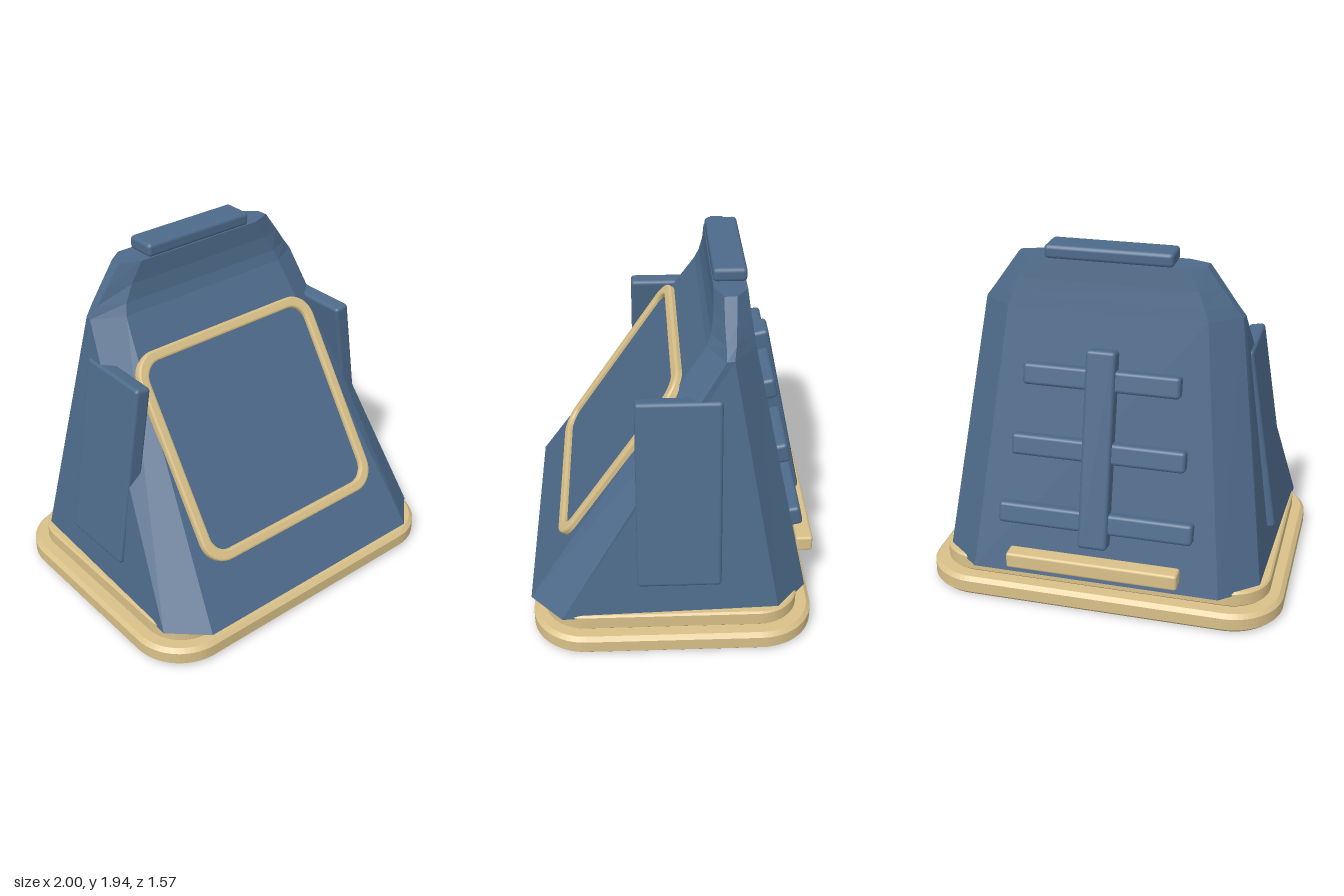
import * as THREE from 'three';
import { RoundedBoxGeometry } from 'three/addons/geometries/RoundedBoxGeometry.js';

const blue = new THREE.MeshStandardMaterial({ color: 0x4d6a8a });
blue.name = 'slate blue';
const tan = new THREE.MeshStandardMaterial({ color: 0xd8c088 });
tan.name = 'sand trim';

function addMesh(parent, name, geometry, material, x = 0, y = 0, z = 0) {
  const mesh = new THREE.Mesh(geometry, material);
  mesh.name = name;
  mesh.position.set(x, y, z);
  parent.add(mesh);
  return mesh;
}

function box(parent, name, size, material, pos, radius = 0.02) {
  return addMesh(parent, name, new RoundedBoxGeometry(...size, 2, radius), material, ...pos);
}

// Rounded rectangle centred on the origin
function roundedRect(w, h, r, Type = THREE.Shape) {
  const x = w / 2 - r, y = h / 2 - r, s = new Type();
  s.absarc(x, y, r, 0, Math.PI / 2);
  s.absarc(-x, y, r, Math.PI / 2, Math.PI);
  s.absarc(-x, -y, r, Math.PI, Math.PI * 1.5);
  s.absarc(x, -y, r, Math.PI * 1.5, Math.PI * 2);
  s.closePath();
  return s;
}

// Horizontal plate with bevelled rims, standing on y = 0
function plate(w, d, h, r, bevel) {
  const g = new THREE.ExtrudeGeometry(roundedRect(w - 2 * bevel, d - 2 * bevel, r - bevel), {
    depth: h - 2 * bevel, bevelSize: bevel, bevelThickness: bevel, bevelSegments: 1, curveSegments: 8,
  });
  return g.translate(0, 0, bevel).rotateX(-Math.PI / 2);
}

// Faceted shell: mirrored eight-sided sections joined upward
function shellGeometry() {
  // y, then x,z of the front, front side, back side and back corners
  const sections = [
    [0.18, 0.73, 0.785, 0.92, 0.61, 0.88, -0.55, 0.68, -0.715],
    [1.61, 0.53, -0.16, 0.697, -0.25, 0.69, -0.29, 0.53, -0.41],
    [1.67, 0.51, -0.183, 0.65, -0.25, 0.645, -0.3, 0.51, -0.4],
    [1.76, 0.46, -0.198, 0.585, -0.245, 0.58, -0.305, 0.475, -0.385],
    [1.87, 0.39, -0.2, 0.505, -0.245, 0.5, -0.31, 0.42, -0.37],
  ];
  const rings = sections.map(([y, ...c]) => {
    const half = [0, 2, 4, 6].map((i) => [c[i], y, c[i + 1]]);
    return [...half, ...half.slice().reverse().map(([x, h, z]) => [-x, h, z])];
  });
  const out = [];
  const tri = (a, b, c) => out.push(...a, ...b, ...c);
  for (let k = 0; k < rings.length - 1; k++) {
    for (let i = 0; i < 8; i++) {
      const j = (i + 1) % 8, lo = rings[k], hi = rings[k + 1];
      tri(lo[i], lo[j], hi[j]);
      tri(lo[i], hi[j], hi[i]);
    }
  }
  const bottom = rings[0], top = rings[rings.length - 1];
  for (let i = 1; i < 7; i++) {
    tri(top[0], top[i], top[i + 1]);
    tri(bottom[0], bottom[i + 1], bottom[i]);
  }
  const g = new THREE.BufferGeometry();
  g.setAttribute('position', new THREE.Float32BufferAttribute(out, 3));
  g.computeVertexNormals();
  return g;
}

export function createModel() {
  const model = new THREE.Group();
  model.name = 'console';

  // Stepped base
  addMesh(model, 'basePlate', plate(2, 1.52, 0.11, 0.29, 0.022), tan, 0, 0, 0.015);
  addMesh(model, 'baseStep', plate(1.85, 1.37, 0.09, 0.22, 0.01), tan, 0, 0.11, 0.022);

  addMesh(model, 'shell', shellGeometry(), blue);
  box(model, 'topCap', [0.68, 0.075, 0.175], blue, [0, 1.903, -0.288], 0.022);

  // Screen lying on the sloping front
  const screen = new THREE.Group();
  screen.name = 'screen';
  screen.position.set(0, 0.937, 0.283);
  screen.rotation.x = -Math.atan2(0.945, 1.43);
  model.add(screen);
  const rim = roundedRect(1.2, 1.16, 0.13);
  rim.holes.push(roundedRect(1.13, 1.09, 0.11, THREE.Path));
  const frame = new THREE.ExtrudeGeometry(rim, {
    depth: 0.03, bevelSize: 0.012, bevelThickness: 0.012, bevelSegments: 2, curveSegments: 8,
  });
  addMesh(screen, 'screenFrame', frame, tan, 0, 0, -0.006);
  const glass = new THREE.ExtrudeGeometry(roundedRect(1.14, 1.1, 0.12), { depth: 0.008, bevelEnabled: false });
  addMesh(screen, 'screenPanel', glass, blue, 0, 0, 0.002);

  // Leaning side panels
  for (const side of [1, -1]) {
    const panel = box(model, side > 0 ? 'leftPanel' : 'rightPanel', [0.09, 1.045, 0.445], blue,
      [side * 0.778, 0.885, -0.015]);
    panel.rotation.z = side * 0.16;
  }

  // Rails on the sloping back
  const rails = new THREE.Group();
  rails.name = 'backRails';
  rails.position.set(0, 0.9, -0.562);
  rails.rotation.x = Math.atan2(0.305, 1.43);
  model.add(rails);
  box(rails, 'spine', [0.16, 1.07, 0.1], blue, [0, 0.01, -0.03]);
  [1.06, 0.94, 0.84].forEach((width, i) => {
    box(rails, 'crossRail', [width, 0.115, 0.08], blue, [0, (i - 1) * 0.385, -0.02]);
  });

  // Bumper strip low on the back
  box(model, 'rearStrip', [0.94, 0.09, 0.095], tan, [0, 0.288, -0.738], 0.015);

  return model;
}
